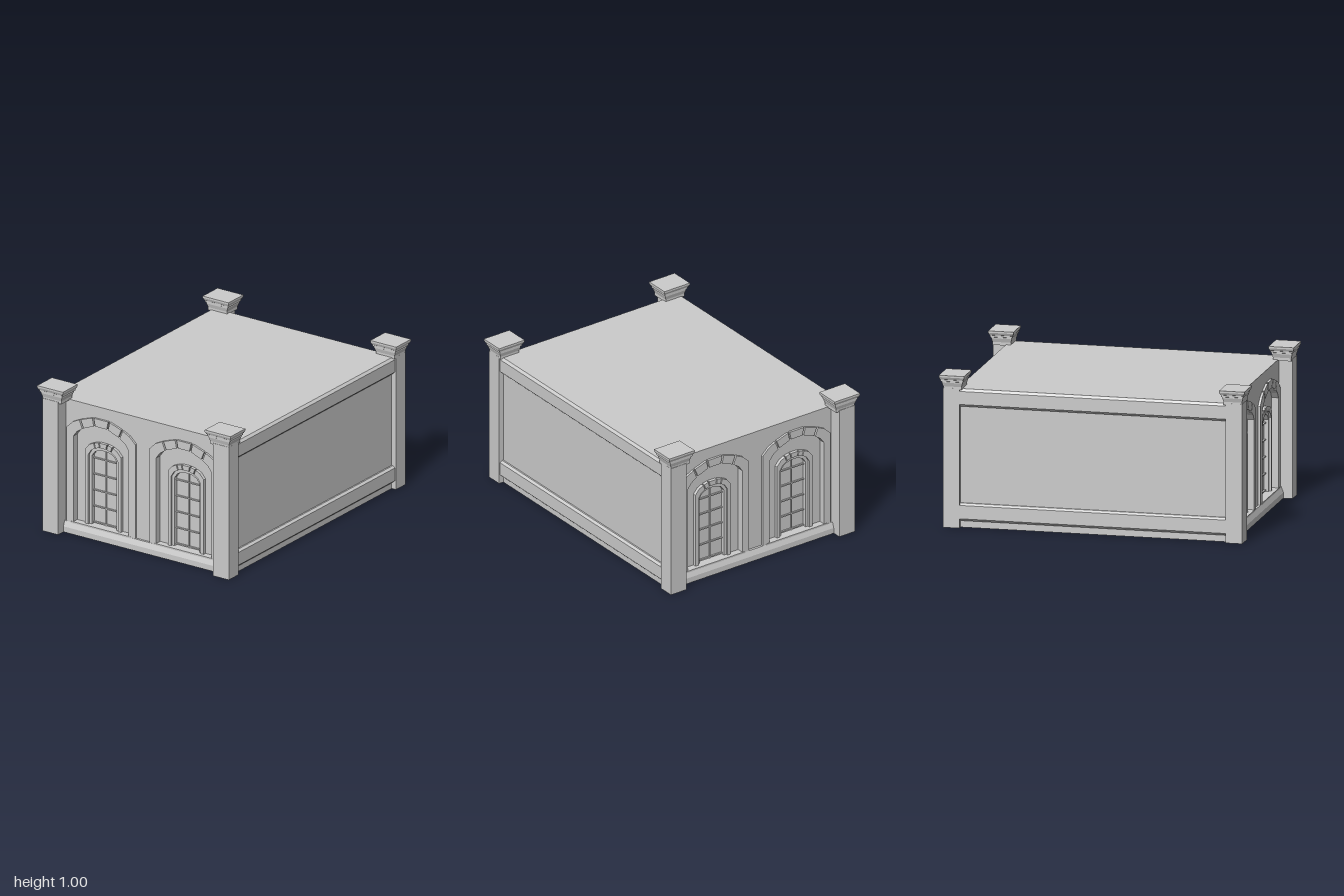
import * as THREE from 'three';

const mat = new THREE.MeshStandardMaterial({ color: 0xcccccc, flatShading: true });

function add(parent, name, geo, x = 0, y = 0, z = 0) {
  const mesh = new THREE.Mesh(geo, mat);
  mesh.name = name;
  mesh.position.set(x, y, z);
  parent.add(mesh);
  return mesh;
}

// box given by its limits on each axis
function block(parent, name, [x0, x1], [y0, y1], [z0, z1]) {
  return add(parent, name, new THREE.BoxGeometry(x1 - x0, y1 - y0, z1 - z0),
    (x0 + x1) / 2, (y0 + y1) / 2, (z0 + z1) / 2);
}

const vecs = (pts) => pts.map(([x, y]) => new THREE.Vector2(x, y));
const flip = (pts) => pts.map(([x, y]) => [-x, y]).reverse();
const arch = (half) => [...half, ...flip(half)];
const shift = (pts, dx) => pts.map(([x, y]) => [x + dx, y]);

// flat outline, with optional holes, extruded between two depths
function slab(parent, name, pts, z0, z1, holes = []) {
  const shape = new THREE.Shape(vecs(pts));
  holes.forEach((h) => shape.holes.push(new THREE.Path(vecs(h))));
  return add(parent, name, new THREE.ExtrudeGeometry(shape, { depth: z1 - z0, bevelEnabled: false }), 0, 0, z0);
}

// half outlines, from the foot of a jamb up to the key joint
const FOOT = 0.075;
const nicheOuter = [[0.267, FOOT], [0.267, 0.72], [0.22, 0.765], [0.163, 0.793], [0.062, 0.827]];
const nicheInner = [[0.214, FOOT], [0.214, 0.668], [0.187, 0.705], [0.14, 0.737], [0.05, 0.773]];
const trimOuter = [[0.139, FOOT], [0.139, 0.592], [0.108, 0.628], [0.072, 0.645], [0.032, 0.655]];
const trimInner = [[0.115, FOOT], [0.115, 0.557], [0.093, 0.592], [0.06, 0.612], [0.025, 0.622]];
const sashInner = [[0.096, FOOT], [0.096, 0.55], [0.075, 0.58], [0.05, 0.592], [0.024, 0.6]];

// pull a point a fixed distance towards its neighbour
function pull([x, y], [nx, ny], d) {
  const t = d / Math.hypot(nx - x, ny - y);
  return [x + (nx - x) * t, y + (ny - y) * t];
}

// arched band split into jambs, side stones and a keystone with open joints
function stoneArch(parent, name, outerHalf, innerHalf, z0, z1, gap) {
  const outer = arch(outerHalf), inner = arch(innerHalf);
  const pieces = [['Jamb', 0, 3], ['Stone', 3, 4], ['Keystone', 4, 5], ['Stone', 5, 6], ['Jamb', 6, 9]];
  for (const [kind, a, b] of pieces) {
    const [o, i] = [outer, inner].map((line) => {
      const part = line.slice(a, b + 1), n = part.length - 1;
      const start = a > 0 ? pull(part[0], part[1], gap / 2) : part[0];
      const end = b < 9 ? pull(part[n], part[n - 1], gap / 2) : part[n];
      return [start, ...part.slice(1, n), end];
    });
    slab(parent, name + kind, [...o, ...i.reverse()], z0, z1);
  }
}

function arcade(cx) {
  const g = new THREE.Group();
  g.name = 'archedBay';
  g.position.x = cx;
  stoneArch(g, 'nicheArch', nicheOuter, nicheInner, 0.87, 0.905, 0.012);
  stoneArch(g, 'windowArch', trimOuter, trimInner, 0.85, 0.882, 0.007);
  // recessed niche back and window sash frame
  const niche = [[-0.24, 0.05], [0.24, 0.05], [0.24, 0.8], [-0.24, 0.8]];
  slab(g, 'nicheBack', niche, 0.835, 0.86, [arch(trimInner)]);
  slab(g, 'windowSash', arch(trimInner), 0.835, 0.868, [arch(sashInner)]);
  // glazing bars
  for (let i = 0; i < 5; i++) {
    const y = 0.09 + i * 0.11;
    block(g, 'crossBar', [-0.097, 0.097], [y - 0.004, y + 0.004], [0.835, 0.851]);
  }
  block(g, 'uprightBar', [-0.003, 0.003], [FOOT, 0.602], [0.835, 0.849]);
  block(g, 'nicheSill', [-0.235, 0.235], [0.07, 0.081], [0.84, 0.908]);
  return g;
}

function facade() {
  const g = new THREE.Group();
  g.name = 'facade';
  const wall = [[-0.62, 0], [0.62, 0], [0.62, 0.906], [-0.62, 0.906]];
  slab(g, 'facadeWall', wall, 0.84, 0.89, [-0.321, 0.321].map((x) => shift(arch(nicheInner), x)));
  g.add(arcade(-0.321), arcade(0.321));
  // plinth with a sloped top
  const plinth = moulding([[0.86, 0], [0.92, 0], [0.92, 0.038], [0.906, 0.075], [0.86, 0.075]], 1.22);
  add(g, 'plinth', plinth).rotation.y = -Math.PI / 2;
  return g;
}

// profile in x and y, run centred along z
function moulding(profile, length) {
  const geo = new THREE.ExtrudeGeometry(new THREE.Shape(vecs(profile)), { depth: length, bevelEnabled: false });
  return geo.translate(0, 0, -length / 2);
}

function sideWall() {
  const g = new THREE.Group();
  g.name = 'sideWall';
  block(g, 'sidePanel', [0.62, 0.69], [0, 0.906], [-0.88, 0.88]);
  for (const [name, y0, y1, y2, y3] of [
    ['lowerRail', 0.045, 0.06, 0.147, 0.16],
    ['upperRail', 0.79, 0.805, 0.89, 0.906],
  ]) {
    add(g, name, moulding([[0.66, y0], [0.7, y0], [0.715, y1], [0.715, y2], [0.7, y3], [0.66, y3]], 1.76));
  }
  return g;
}

// flared, stepped square cap
function capGeometry() {
  const profile = [[0, 0.9], [0.0725, 0.9], [0.0725, 0.92], [0.081, 0.945], [0.081, 0.952], [0.088, 0.955],
    [0.088, 0.966], [0.092, 0.968], [0.099, 0.982], [0.1, 0.984], [0.1, 0.996], [0, 0.996]];
  const pts = vecs(profile.map(([r, y]) => [r * Math.SQRT2, y]));
  const geo = new THREE.LatheGeometry(pts, 4, Math.PI / 4).toNonIndexed();
  geo.scale(1, 1, 0.825);
  geo.computeVertexNormals();
  return geo;
}

export function createModel() {
  const model = new THREE.Group();
  model.name = 'arcadedBlock';

  block(model, 'core', [-0.62, 0.62], [0, 0.906], [-0.84, 0.84]);

  // matching opposite faces
  for (const turn of [0, Math.PI]) {
    for (const part of [facade(), sideWall()]) {
      part.rotation.y = turn;
      model.add(part);
    }
  }

  // corner posts
  const cap = capGeometry();
  for (const sx of [-1, 1]) {
    for (const sz of [-1, 1]) {
      const post = new THREE.Group();
      post.name = 'cornerPost';
      add(post, 'postShaft', new THREE.BoxGeometry(0.122, 0.91, 0.108), sx * 0.662, 0.455, sz * 0.926);
      add(post, 'postCap', cap, sx * 0.65, 0, sz * 0.9175);
      model.add(post);
    }
  }
  return model;
}
